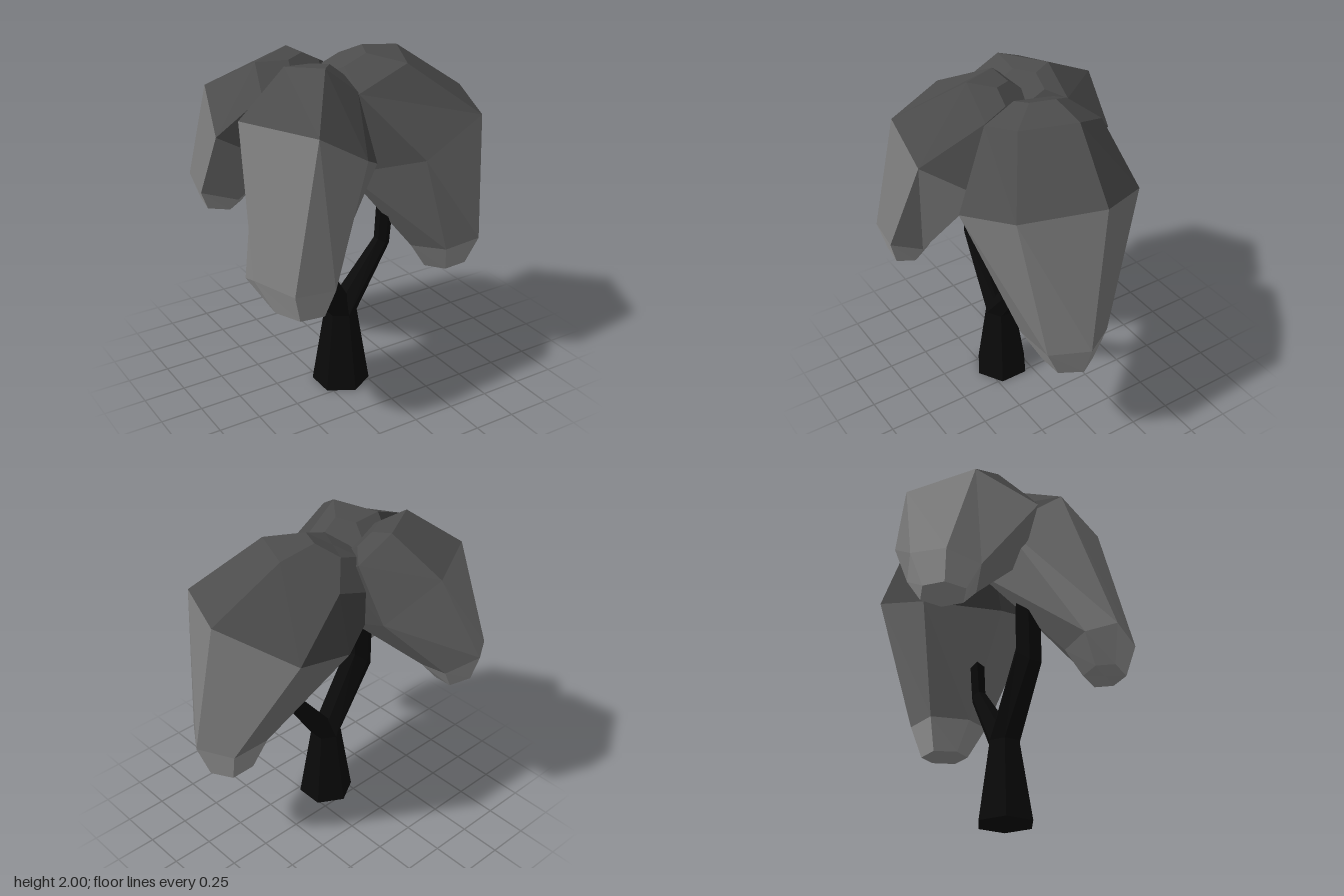
import * as THREE from 'three';

const V = (p) => new THREE.Vector3(...p);

// Six-sided ring from its centre and three neighbouring corners; the rest are opposite
function hexRing(centre, ...corners) {
  const c = V(centre), near = corners.map(V);
  return [...near, ...near.map((p) => c.clone().multiplyScalar(2).sub(p))];
}

// Copy of a ring, scaled and moved to a new centre
function scaledRing(ring, centre, scale, scaleY = scale) {
  const c = ring[0].clone().add(ring[3]).multiplyScalar(0.5);
  const factor = new THREE.Vector3(scale, scaleY, scale);
  return ring.map((p) => p.clone().sub(c).multiply(factor).add(V(centre)));
}

// Hexagon around a vertical axis, optionally sloping along x
function stemRing(x, y, z, r, tilt = 0) {
  return Array.from({ length: 6 }, (_, i) => {
    const a = Math.PI / 6 + (i * Math.PI) / 3;
    const dx = Math.cos(a) * r;
    return new THREE.Vector3(x + dx, y + dx * tilt, z + Math.sin(a) * r);
  });
}

// Faceted skin over rings listed from top to bottom
function loft(name, color, rings, capTop, capBottom) {
  const pts = [];
  const n = rings[0].length;
  const cap = (ring, up) => {
    const c = ring.reduce((s, p) => s.add(p), new THREE.Vector3()).divideScalar(n);
    ring.forEach((p, i) => {
      const q = ring[(i + 1) % n];
      pts.push(c, ...(up ? [q, p] : [p, q]));
    });
  };
  for (let k = 0; k < rings.length - 1; k++) {
    const a = rings[k], b = rings[k + 1];
    for (let i = 0; i < n; i++) {
      const j = (i + 1) % n;
      pts.push(a[i], a[j], b[i], a[j], b[j], b[i]);
    }
  }
  if (capTop) cap(rings[0], true);
  if (capBottom) cap(rings[rings.length - 1], false);
  const geometry = new THREE.BufferGeometry().setFromPoints(pts);
  geometry.computeVertexNormals();
  const mesh = new THREE.Mesh(geometry, new THREE.MeshStandardMaterial({ color, flatShading: true }));
  mesh.name = name;
  return mesh;
}

// Drooping clump of leaves: domed crown, long skirt, blunt flat tip
function foliage(name, { top, shoulder, widest, hem, tip }) {
  const group = new THREE.Group();
  group.name = name;
  const s = hexRing(...shoulder), w = hexRing(...widest), h = hexRing(...hem);
  group.add(
    loft('crown', 0x4c4c4c, [scaledRing(s, top, 0.45), s, w], true, false),
    loft('skirt', 0x808080, [w, h], false, false),
    loft('tip', 0xa0a0a0, [h, scaledRing(h, tip, 0.61, 0.3)], false, true)
  );
  return group;
}

export function createModel() {
  const model = new THREE.Group();
  model.name = 'tree';

  // Trunk and its two bent branches
  const x = -0.133, z = 0.14, bark = 0x0a0a0a;
  const fork = stemRing(x, 0.475, z, 0.096);
  model.add(
    loft('trunk', bark, [fork, stemRing(x, 0, z, 0.171)], true, true),
    loft('rightBranch', bark,
      [stemRing(-0.41, 1.24, z, 0.08), stemRing(-0.408, 0.915, z, 0.08, 0.9), fork], true, false),
    loft('leftBranch', bark,
      [stemRing(0.175, 1.14, z, 0.05), stemRing(0.152, 0.86, z, 0.045, -0.5), fork], true, false)
  );

  // Three clumps: each ring is a centre plus three corners on its outer side
  model.add(
    foliage('leftFoliage', {
      top: [0, 1.935, -0.06],
      shoulder: [[0.06, 1.83, -0.04], [0.2, 1.83, -0.33], [0.37, 1.97, -0.06], [0.24, 1.95, 0.24]],
      widest: [[0.333, 1.515, 0.095], [0.51, 1.53, -0.37], [0.765, 1.69, 0.035], [0.59, 1.66, 0.475]],
      hem: [[0.59, 0.82, 0.17], [0.72, 0.83, -0.03], [0.84, 0.85, 0.16], [0.71, 0.82, 0.36]],
      tip: [0.61, 0.625, 0.155],
    }),
    foliage('frontFoliage', {
      top: [-0.14, 1.89, 0],
      shoulder: [[-0.2, 1.81, 0], [-0.08, 1.84, 0.24], [-0.28, 2, 0.235], [-0.4, 1.97, 0]],
      widest: [[-0.385, 1.61, 0.245], [-0.235, 1.59, 0.585], [-0.525, 1.765, 0.585], [-0.76, 1.777, 0.16]],
      hem: [[-0.645, 0.935, 0.465], [-0.49, 0.95, 0.68], [-0.72, 0.96, 0.655], [-0.845, 1, 0.44]],
      tip: [-0.625, 0.78, 0.5],
    }),
    foliage('backFoliage', {
      top: [-0.22, 1.92, -0.08],
      shoulder: [[-0.29, 1.865, -0.09], [-0.515, 1.985, -0.11], [-0.236, 2, -0.27], [-0.01, 1.88, -0.25]],
      widest: [[-0.38, 1.64, -0.265], [-0.7, 1.82, -0.37], [-0.29, 1.83, -0.595], [0.043, 1.645, -0.5]],
      hem: [[-0.56, 1.19, -0.49], [-0.737, 1.23, -0.57], [-0.556, 1.257, -0.69], [-0.36, 1.2, -0.61]],
      tip: [-0.575, 1.05, -0.5],
    })
  );
  return model;
}
